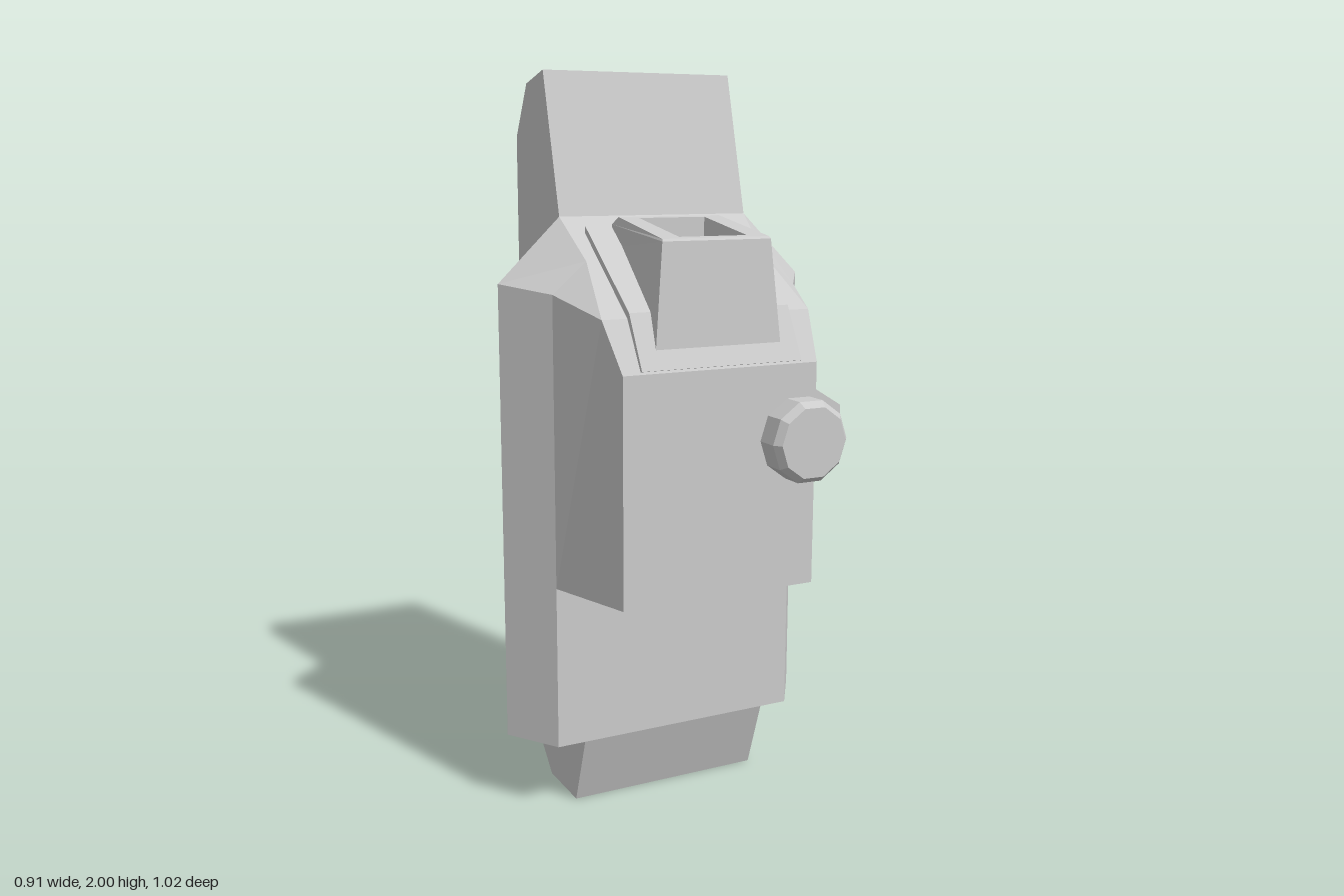
import * as THREE from 'three';

const mat = () => new THREE.MeshStandardMaterial({ color: 0xcccccc, flatShading: true });

function addMesh(group, name, geometry) {
  const mesh = new THREE.Mesh(geometry, mat());
  mesh.name = name;
  group.add(mesh);
  return mesh;
}

// Flat-sided solid from corner points and polygon faces (each fanned into triangles)
function polyhedron(points, faces) {
  const pos = [];
  for (const f of faces)
    for (let i = 1; i < f.length - 1; i++)
      pos.push(...points[f[0]], ...points[f[i]], ...points[f[i + 1]]);
  const g = new THREE.BufferGeometry();
  g.setAttribute('position', new THREE.Float32BufferAttribute(pos, 3));
  g.computeVertexNormals();
  return g;
}

// Four-cornered loft; each ring is [xBack, yBack, zBack, xFront, yFront, zFront]
function loft(rings) {
  const points = [], faces = [[3, 2, 1, 0]];
  rings.forEach(([xb, yb, zb, xf, yf, zf], r) => {
    points.push([xb, yb, zb], [-xb, yb, zb], [-xf, yf, zf], [xf, yf, zf]);
    if (r === 0) return;
    const a = 4 * (r - 1), b = 4 * r;
    for (let j = 0; j < 4; j++) {
      const k = (j + 1) % 4;
      faces.push([a + j, a + k, b + k, b + j]);
    }
  });
  const e = 4 * (rings.length - 1);
  faces.push([e, e + 1, e + 2, e + 3]);
  return polyhedron(points, faces);
}

// Side profile of [z, y] points, extruded across x and centred
function sideExtrude(profile, width) {
  const shape = new THREE.Shape(profile.map(([z, y]) => new THREE.Vector2(z, y)));
  const g = new THREE.ExtrudeGeometry(shape, { depth: width, bevelEnabled: false });
  g.rotateY(-Math.PI / 2);
  g.translate(width / 2, 0, 0);
  return g;
}

// Mirrored faceted housing with the sloping top
function housingGeometry() {
  const half = [
    [0.28, 1.62, 0.04], [0.455, 1.45, 0.04], [0.455, 0.2, 0.04], [0.36, 0.2, 0.18],
    [0.36, 1.43, 0.18], [0.265, 1.512, 0.18], [0.30, 1.38, 0.35], [0.28, 1.25, 0.428],
    [0.28, 0.65, 0.428], [0.36, 0.65, 0.18],
  ];
  const n = half.length;
  const points = [...half, ...half.map(([x, y, z]) => [-x, y, z])];
  const sides = [[4, 3, 2, 1], [0, 5, 4, 1], [5, 6, 4], [4, 6, 7, 8, 9]];
  const faces = [...sides, ...sides.map((f) => f.map((i) => i + n).reverse())];
  // strips joining both halves: down the front, under, and up the back
  const chain = [0, 5, 6, 7, 8, 9, 3, 2, 1, 0];
  for (let i = 0; i < chain.length - 1; i++) {
    const a = chain[i], b = chain[i + 1];
    faces.push([a + n, b + n, b, a]);
  }
  return polyhedron(points, faces);
}

export function createModel() {
  const model = new THREE.Group();
  model.name = 'device';

  // Tall back slab
  addMesh(model, 'backSlab', sideExtrude([
    [0.11, 0], [0.178, 0.2], [0.04, 0.4], [0.04, 1.62], [-0.06, 2], [-0.18, 1.97],
    [-0.26, 1.83], [-0.26, 0.19], [-0.07, 0],
  ], 0.56));

  addMesh(model, 'housing', housingGeometry());

  // Thin cover plate bent over the slope, with a tab at its upper edge
  addMesh(model, 'coverPlate', sideExtrude([
    [0.095, 1.575], [0.35, 1.375], [0.42, 1.255], [0.433, 1.258], [0.36, 1.395], [0.095, 1.597],
  ], 0.46));
  addMesh(model, 'coverTab', sideExtrude([
    [0.07, 1.594], [0.13, 1.545], [0.13, 1.571], [0.075, 1.612],
  ], 0.24));

  // Hollow tapered socket standing on the plate
  addMesh(model, 'socket', loft([
    [0.155, 1.54, 0.10, 0.18, 1.3, 0.408],
    [0.155, 1.6, 0.10, 0.155, 1.57, 0.393],
    [0.15, 1.62, 0.13, 0.152, 1.576, 0.388],
    [0.097, 1.617, 0.145, 0.097, 1.579, 0.37],
    [0.097, 1.55, 0.145, 0.097, 1.49, 0.37],
  ]));

  // Wedge fairing behind the knob
  addMesh(model, 'knobFairing', polyhedron([
    [0.275, 1.18, 0.428], [0.275, 0.93, 0.428], [0.357, 0.98, 0.428], [0.357, 1.13, 0.428],
    [0.36, 0.98, 0.18], [0.36, 1.13, 0.18],
  ], [[0, 1, 2, 3], [3, 2, 4, 5], [0, 3, 5], [2, 1, 4], [0, 5, 4, 1]]));

  // Ten-sided knob with a bevelled face
  const knob = new THREE.LatheGeometry([
    [0.112, 0.42], [0.112, 0.49], [0.096, 0.51], [0, 0.51],
  ].map(([r, y]) => new THREE.Vector2(r, y)), 10, Math.PI / 2).toNonIndexed();
  knob.rotateX(Math.PI / 2);
  knob.computeVertexNormals();
  addMesh(model, 'knob', knob).position.set(0.225, 1.053, 0);

  // Rear tray with sloping wings and a recessed centre
  addMesh(model, 'rearTray', loft([
    [0.085, 1.125, -0.48, 0.085, 1.125, -0.285],
    [0.085, 1.148, -0.48, 0.085, 1.148, -0.285],
    [0.125, 1.143, -0.51, 0.125, 1.143, -0.28],
    [0.125, 1.152, -0.51, 0.125, 1.152, -0.28],
    [0.085, 1.178, -0.51, 0.06, 1.178, -0.265],
    [0.082, 1.178, -0.485, 0.082, 1.178, -0.29],
    [0.082, 1.135, -0.485, 0.082, 1.135, -0.29],
  ]));
  const lip = addMesh(model, 'rearTrayLip', new THREE.BoxGeometry(0.16, 0.022, 0.022));
  lip.position.set(0, 1.181, -0.499);

  // Small tapered block below the tray
  addMesh(model, 'rearBlock', loft([
    [0.075, 1.018, -0.48, 0.075, 1.018, -0.29],
    [0.085, 1.05, -0.485, 0.085, 1.05, -0.283],
  ]));

  return model;
}
